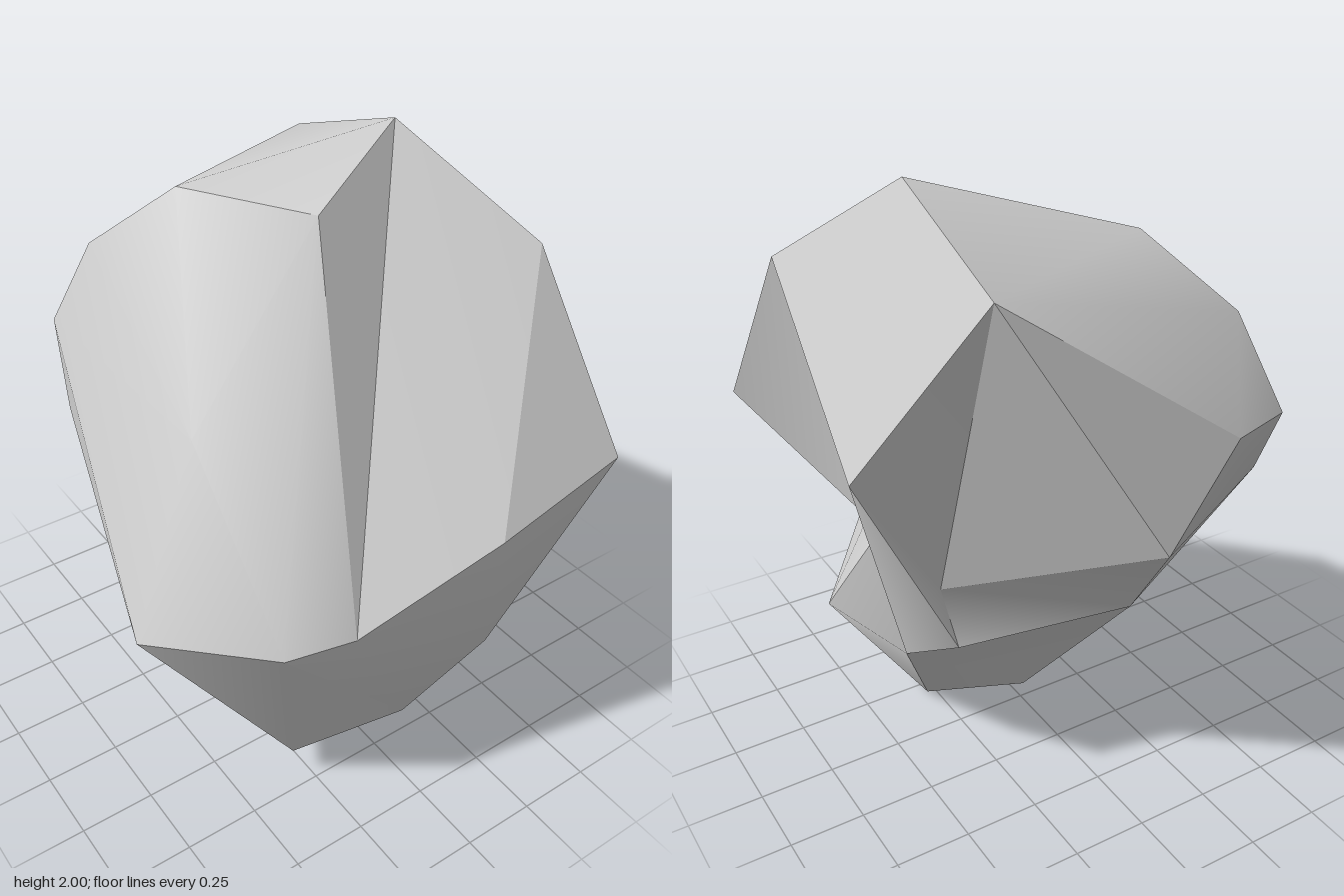
import * as THREE from 'three';

// Corner points of the boulder
const P = {
  peak: [0.41, 2.0, -0.05], shoulder: [0.65, 1.69, 0.38], side: [0.76, 1.28, -0.36],
  chin: [0.70, 1.10, 0.76], lipA: [0.21, 1.01, 0.79], lipB: [-0.25, 0.79, 0.69],
  lipC: [-0.48, 0.80, 0.65], west: [-0.76, 0.73, 0.28], backTop: [0.43, 1.81, -0.58],
  crown: [0.02, 1.84, 0.10], brow: [-0.20, 1.83, -0.33],
  rim: [-0.40, 1.61, -0.55], backWest: [-0.50, 1.31, -0.67], cheek: [-0.49, 1.32, 0.20],
  back: [0, 1.04, -0.80], backMid: [-0.27, 1.32, -0.75],
  nook: [-0.54, 1.05, -0.53], foot: [0.28, 0, 0.20], footWest: [-0.31, 0.12, 0.45],
  footFront: [0.01, 0.27, 0.62], toe: [0.55, 0.36, 0.42], notchLip: [0.21, 0.59, 0.76],
  notchTop: [0.30, 0.78, 0.44], notchIn: [0.37, 0.66, 0.33], hip: [0.50, 0.46, -0.11],
  hipBack: [0.44, 0.62, -0.36], cleft: [0.46, 0.80, -0.29], footBack: [0.02, 0.10, -0.05],
  keel: [-0.17, 0.58, -0.41],
};

// Facets: smooth inside each one, sharp along its borders
const FACETS = {
  rightFace: ['shoulder chin notchIn', 'shoulder notchIn hip', 'shoulder hip side',
    'notchIn toe hip', 'toe foot hip', 'side hip hipBack'],
  topRightFace: ['peak shoulder side', 'peak side backTop'],
  cleftFace: ['backTop side cleft', 'side hipBack cleft'],
  backRightFace: ['backTop cleft back'],
  backUpperFace: ['backTop back backMid'],
  topFace: ['brow crown peak', 'brow peak backTop', 'rim brow backTop', 'rim backTop backMid',
    'rim backMid backWest'],
  browFace: ['peak crown lipB'],
  leftFace: ['crown brow cheek', 'brow rim cheek', 'rim backWest cheek', 'backWest west cheek',
    'cheek west lipC', 'crown cheek lipC', 'crown lipC lipB'],
  frontFace: ['peak lipB lipA', 'peak lipA shoulder'],
  chinFace: ['lipA chin shoulder'],
  lowerLeftFace: ['west footWest lipC', 'lipC footWest footFront'],
  lowerFrontFace: ['lipC footFront lipB', 'lipB footFront notchLip', 'footFront toe notchLip',
    'lipB notchLip lipA', 'lipA notchLip chin'],
  notchRoof: ['chin notchLip notchTop'],
  notchBack: ['chin notchTop notchIn'],
  notchFloor: ['notchLip toe notchTop', 'toe notchIn notchTop'],
  footFace: ['footWest foot toe', 'footWest toe footFront'],
  cleftFloor: ['back cleft keel', 'cleft hipBack keel'],
  undersideRight: ['hipBack hip keel', 'hip foot footBack', 'hip footBack keel'],
  undersideLeft: ['footBack foot footWest', 'keel footBack footWest', 'keel footWest west',
    'keel west nook', 'back keel nook', 'back nook backMid', 'backMid nook backWest'],
  nookFace: ['west backWest nook'],
};

// Indexed geometry from a list of named triangles
function facetGeometry(triangles) {
  const names = [], positions = [], index = [];
  for (const name of triangles.join(' ').split(' ')) {
    if (!names.includes(name)) {
      names.push(name);
      positions.push(...P[name]);
    }
    index.push(names.indexOf(name));
  }
  const geometry = new THREE.BufferGeometry();
  geometry.setAttribute('position', new THREE.Float32BufferAttribute(positions, 3));
  geometry.setIndex(index);
  geometry.computeVertexNormals();
  return geometry;
}

export function createModel() {
  const stone = new THREE.MeshStandardMaterial({ color: 0xcccccc });
  stone.name = 'stone grey';
  const boulder = new THREE.Group();
  boulder.name = 'boulder';
  for (const [name, triangles] of Object.entries(FACETS)) {
    const mesh = new THREE.Mesh(facetGeometry(triangles), stone);
    mesh.name = name;
    boulder.add(mesh);
  }
  return boulder;
}
